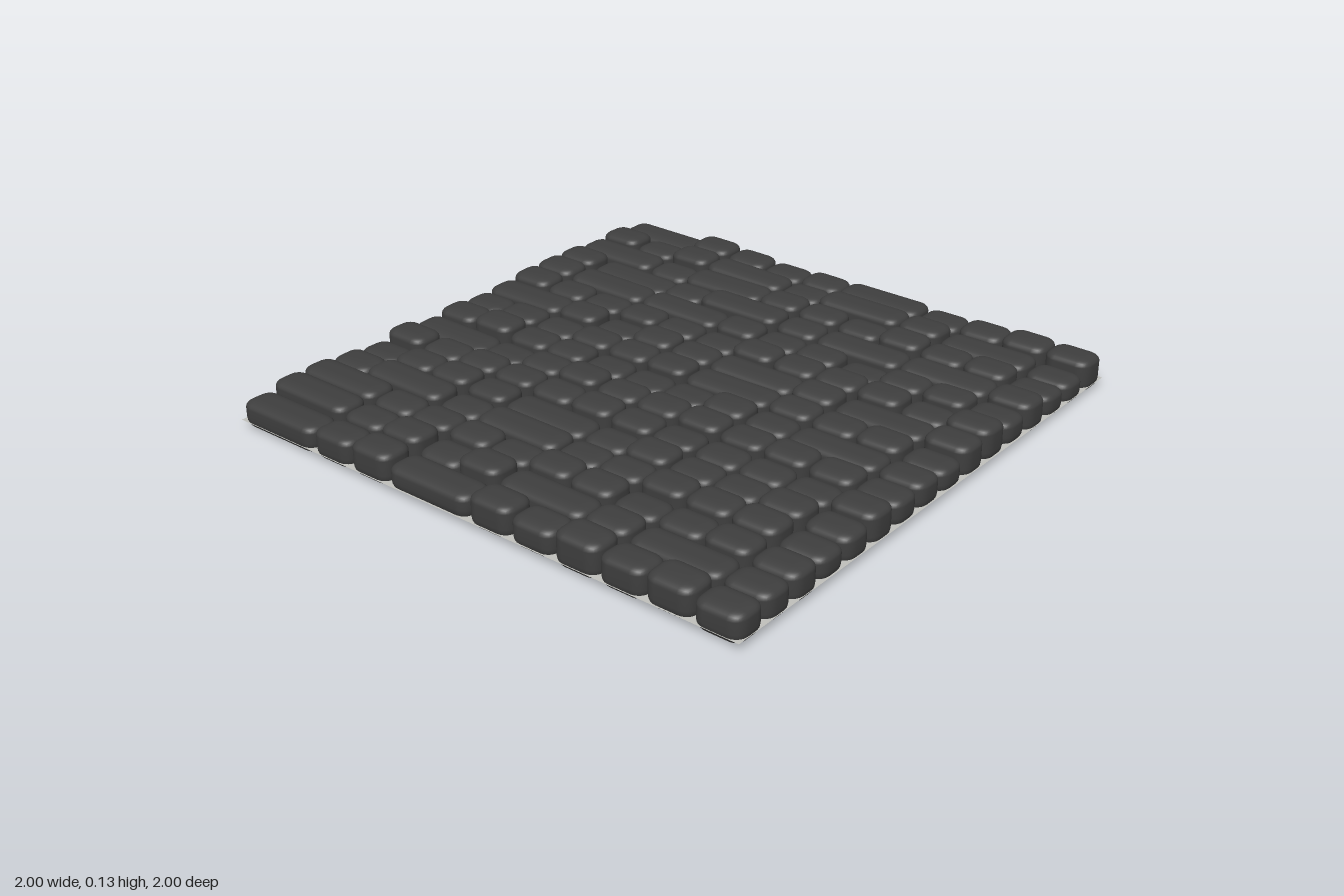
import * as THREE from 'three';
import { RoundedBoxGeometry } from 'three/addons/geometries/RoundedBoxGeometry.js';
import { mergeVertices } from 'three/addons/utils/BufferGeometryUtils.js';

const stoneMat = new THREE.MeshStandardMaterial({ color: 0x3e3e3e });
stoneMat.name = 'dark stone';
const groutMat = new THREE.MeshStandardMaterial({ color: 0xc0c0bb, side: THREE.DoubleSide });
groutMat.name = 'pale grout';

// Stone lengths, in columns, for each course from back to front
const courses = [
  '2111121111', '111212121', '2121111111', '12121221',
  '1221111111', '111111111111', '211112121', '11111121111',
  '11111111121', '21111111111', '111111111111', '11112111111',
  '1212111111', '21111111111', '211112121', '2112111111',
];
const COL = 2 / 12, ROW = 2 / 16, GROUT_Y = 0.03;

let seed = 11;
const random = () => (seed = (seed * 16807) % 2147483647) / 2147483647;

// Cobble with a round underside, a tighter top edge and a slightly tilted top
function cobble(width, height, depth) {
  const r = 0.044;
  const geo = new RoundedBoxGeometry(width, height, depth, 3, r);
  geo.deleteAttribute('normal');
  geo.deleteAttribute('uv');
  geo.clearGroups();
  const tiltX = (random() - 0.5) * 0.03, tiltZ = (random() - 0.5) * 0.05;
  const p = geo.attributes.position;
  for (let i = 0; i < p.count; i++) {
    let y = p.getY(i);
    if (y > 0) {
      y = height / 2 - (height / 2 - y) * 0.55;
      y += p.getX(i) * tiltX + p.getZ(i) * tiltZ;
    }
    p.setY(i, y + height / 2);
  }
  const smooth = mergeVertices(geo, 1e-5);
  smooth.computeVertexNormals();
  return smooth;
}

export function createModel() {
  const model = new THREE.Group();
  model.name = 'cobblestonePaving';

  // Sheet showing in the gaps, just above the undersides of the stones
  const grout = new THREE.Mesh(new THREE.PlaneGeometry(2, 2), groutMat);
  grout.name = 'groutSheet';
  grout.rotation.x = -Math.PI / 2;
  grout.position.y = GROUT_Y;
  model.add(grout);

  // Courses of single and double stones
  courses.forEach((course, row) => {
    const group = new THREE.Group();
    group.name = `course${row + 1}`;
    group.position.z = -1 + (row + 0.5) * ROW;
    let x = -1;
    for (const digit of course) {
      const width = Number(digit) * COL;
      const height = 0.093 + random() * 0.034;
      const stone = new THREE.Mesh(cobble(width, height, ROW), stoneMat);
      stone.name = digit === '2' ? 'longCobble' : 'cobble';
      stone.position.set(x + width / 2, random() * 0.008, 0);
      group.add(stone);
      x += width;
    }
    model.add(group);
  });
  return model;
}
